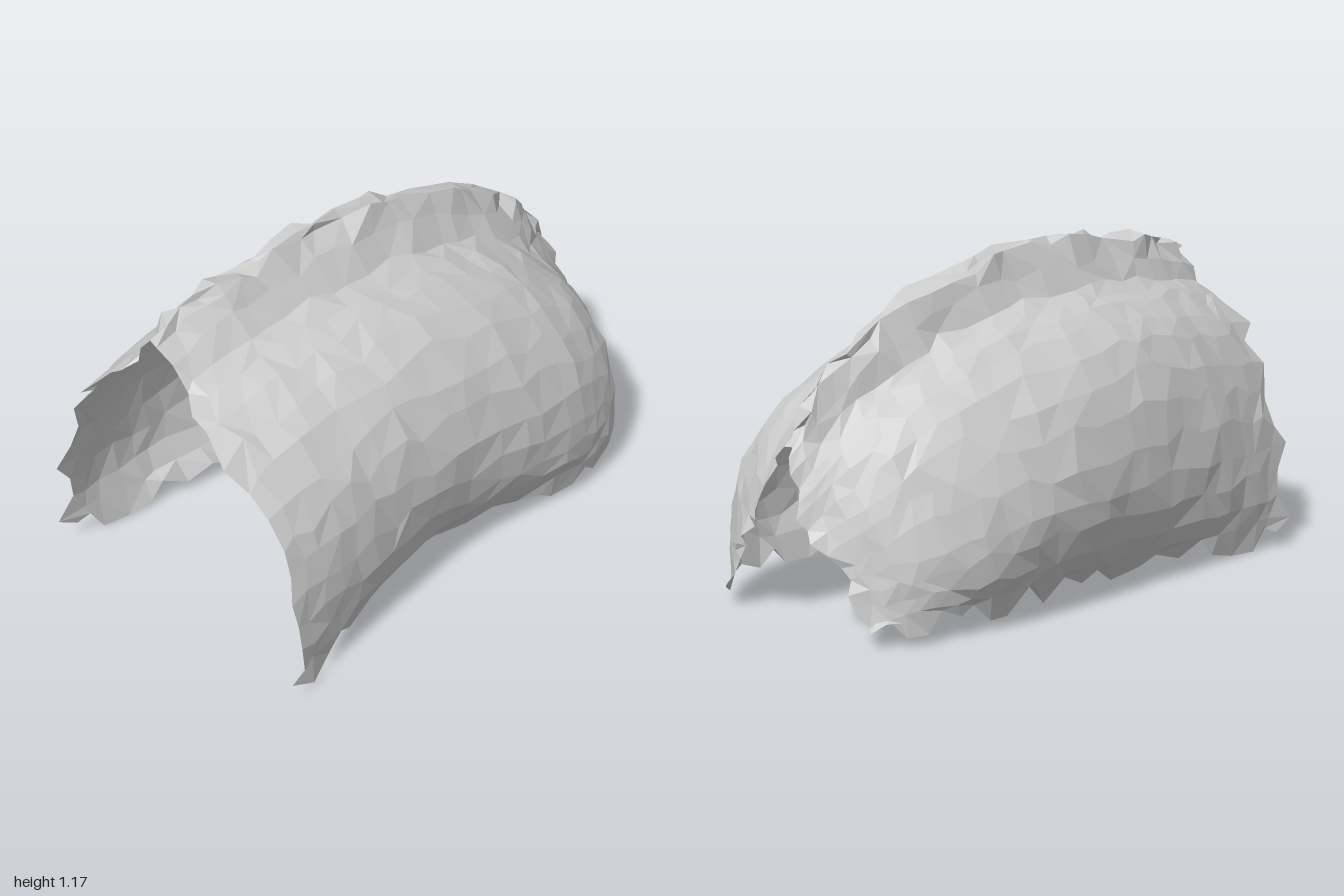
import * as THREE from 'three';

// Stations along x. Each lists half a cross-section from crest to hem as [x, y, half width].
const STATIONS = [
  [[-.88, 1.06, .03], [-.91, .94, .115], [-.95, .87, .23], [-.96, .74, .38], [-.95, .56, .49], [-.95, .38, .54], [-.94, .2, .565], [-.93, .06, .58]],
  [[-.55, 1.14, .03], [-.55, 1.0, .125], [-.55, .94, .25], [-.55, .83, .4], [-.55, .64, .51], [-.55, .41, .56], [-.55, .2, .55], [-.55, .06, .48]],
  [[-.1, 1.165, .03], [-.1, 1.01, .13], [-.1, .96, .26], [-.1, .86, .41], [-.1, .66, .53], [-.1, .41, .567], [-.1, .2, .51], [-.1, .06, .4]],
  [[.37, 1.08, .03], [.35, .94, .115], [.38, .88, .24], [.42, .76, .38], [.44, .59, .5], [.44, .38, .568], [.42, .21, .56], [.37, .08, .49]],
  [[.75, .89, .03], [.71, .78, .095], [.74, .7, .19], [.77, .6, .3], [.78, .46, .39], [.77, .3, .45], [.75, .18, .475], [.72, .08, .475]],
  [[.96, .62, .01], [.97, .55, .05], [.98, .46, .085], [.98, .37, .12], [.95, .3, .2], [.93, .23, .255], [.92, .14, .29], [.91, .05, .35]],
];
const OFFSET = [-.08, -.06, -.035, -.015, 0, 0, 0, 0]; // crest sits behind the middle
const LEAN = [1.5, 1.1, .85, 1.1, 1.1, .2];
const SHIFT = [.01, -.02, -.03, .01, .03, 0]; // slight sideways bow of the body
const NU = 24, NV = 30;

// Small seeded noise in -1..1
let seed = 7;
const noise = () => {
  seed = (seed * 16807) % 2147483647;
  return seed / 1073741823.5 - 1;
};

function sectionControls(s) {
  const half = (side) => STATIONS[s].map(([x, y, w], k) =>
    new THREE.Vector3(x, y, side * w + OFFSET[k] * LEAN[s] + SHIFT[s]));
  return [...half(1).reverse(), ...half(-1)];
}

function buildPoints() {
  const sections = STATIONS.map((_, s) => sectionControls(s));
  // Lengthwise curves through matching controls
  const rails = sections[0].map((_, k) => new THREE.CatmullRomCurve3(sections.map((c) => c[k])));
  const grid = [];
  for (let i = 0; i <= NU; i++) {
    const row = [];
    for (let j = 0; j <= NV; j++) {
      const endEdge = i === 0 || i === NU, hem = j === 0 || j === NV;
      const crest = Math.abs(j - NV / 2) <= 1;
      const u = endEdge ? i / NU : (i + noise() * .25) / NU;
      const v = hem ? j / NV : (j + noise() * (crest ? .12 : .22)) / NV;
      const p = new THREE.CatmullRomCurve3(rails.map((r) => r.getPoint(u))).getPoint(v);
      // Rough surface, ragged borders and a jagged crest
      const rough = crest ? .022 : .006;
      p.x += noise() * (i === 0 ? .045 : i === NU ? .02 : rough);
      p.y += noise() * (hem ? .045 : rough);
      p.z += noise() * rough;
      p.y = Math.max(p.y, 0);
      row.push(p);
    }
    grid.push(row);
  }
  return grid;
}

// Facets for one band of the grid, with varied diagonals
function band(grid, j0, j1) {
  const pts = [], index = [], w = j1 - j0 + 1;
  for (let i = 0; i <= NU; i++)
    for (let j = j0; j <= j1; j++) pts.push(grid[i][j]);
  for (let i = 0; i < NU; i++)
    for (let j = 0; j < w - 1; j++) {
      const a = i * w + j, b = a + w, c = b + 1, d = a + 1;
      if (noise() > 0) index.push(a, b, c, a, c, d);
      else index.push(a, b, d, b, c, d);
    }
  const g = new THREE.BufferGeometry().setFromPoints(pts);
  g.setIndex(index);
  g.computeVertexNormals();
  return g;
}

export function createModel() {
  const group = new THREE.Group();
  group.name = 'crestedShell';
  const material = new THREE.MeshStandardMaterial({ color: 0xcccccc, flatShading: true, side: THREE.DoubleSide });
  const grid = buildPoints();
  for (const [name, j0, j1] of [['frontFlank', 0, 12], ['crest', 12, 18], ['backFlank', 18, NV]]) {
    const mesh = new THREE.Mesh(band(grid, j0, j1), material);
    mesh.name = name;
    group.add(mesh);
  }
  return group;
}
